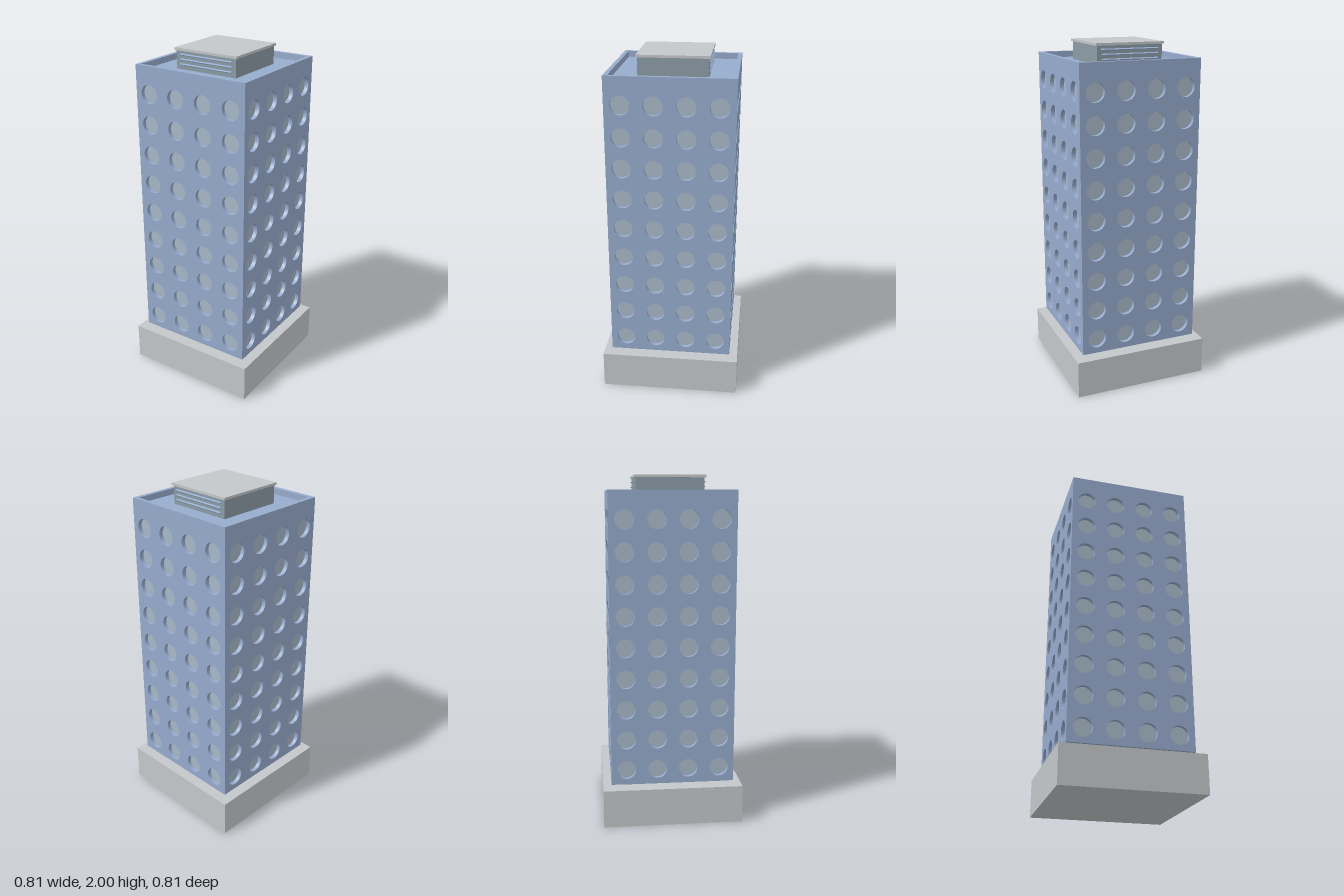
import * as THREE from 'three';

export function createModel() {
  const model = new THREE.Group();
  model.name = 'officeTower';

  const mat = (name, color) => {
    const m = new THREE.MeshStandardMaterial({ color });
    m.name = name;
    return m;
  };
  const concrete = mat('concrete', 0xc4c7c9);
  const facade = mat('blueFacade', 0x96abcd);
  const glass = mat('windowGlass', 0xa8b8c7);
  const metal = mat('greyMetal', 0x8b9ca5);

  const add = (name, geometry, material, parent = model) => {
    const mesh = new THREE.Mesh(geometry, material);
    mesh.name = name;
    parent.add(mesh);
    return mesh;
  };
  // Square block standing between two heights
  const block = (name, half, y0, y1, material) => {
    const b = add(name, new THREE.BoxGeometry(half * 2, y1 - y0, half * 2), material);
    b.position.y = (y0 + y1) / 2;
    return b;
  };

  const HALF = 0.357, WALL = 0.024, INNER = HALF - WALL;
  const BOTTOM = 0.24, TOP = 1.917, DECK = 1.882;
  const PITCH = 0.179, RADIUS = 0.054, ROWS = 9, COLS = 4, FIRST_ROW = 0.327;

  // Podium and recessed joint
  block('podium', 0.405, 0, 0.22, concrete);
  block('recessedJoint', 0.31, 0.22, BOTTOM, metal);

  // Glazed core behind the walls, with roof deck on top
  block('glazedCore', INNER, BOTTOM, DECK, [glass, glass, facade, facade, glass, glass]);

  // Outer wall pierced by round windows; it rises past the deck as a parapet
  const wallGeometry = (half) => {
    const shape = new THREE.Shape([
      new THREE.Vector2(-half, BOTTOM), new THREE.Vector2(half, BOTTOM),
      new THREE.Vector2(half, TOP), new THREE.Vector2(-half, TOP),
    ]);
    for (let r = 0; r < ROWS; r++) {
      for (let c = 0; c < COLS; c++) {
        const hole = new THREE.Path();
        const x = (c - (COLS - 1) / 2) * PITCH;
        hole.absarc(x, FIRST_ROW + r * PITCH, RADIUS, 0, Math.PI * 2, true);
        shape.holes.push(hole);
      }
    }
    return new THREE.ExtrudeGeometry(shape, { depth: WALL, bevelEnabled: false, curveSegments: 16 })
      .translate(0, 0, INNER);
  };
  const wide = wallGeometry(HALF), narrow = wallGeometry(INNER);
  ['frontWall', 'leftWall', 'backWall', 'rightWall'].forEach((name, i) => {
    add(name, i % 2 ? narrow : wide, facade).rotation.y = i * Math.PI / 2;
  });

  // Rooftop plant room with cap
  block('plantRoom', 0.195, DECK, 1.986, metal);
  block('plantRoomCap', 0.203, 1.986, 2, concrete);

  // Tilted louvres on the front and back of the plant room
  for (const side of [1, -1]) {
    const louvres = new THREE.Group();
    louvres.name = side > 0 ? 'frontLouvres' : 'backLouvres';
    louvres.rotation.y = side > 0 ? 0 : Math.PI;
    model.add(louvres);
    for (let i = 0; i < 3; i++) {
      const slat = add('louvreSlat', new THREE.BoxGeometry(0.34, 0.006, 0.018), facade, louvres);
      slat.position.set(0, 1.912 + i * 0.027, 0.195);
      slat.rotation.x = 0.5;
    }
  }

  return model;
}
